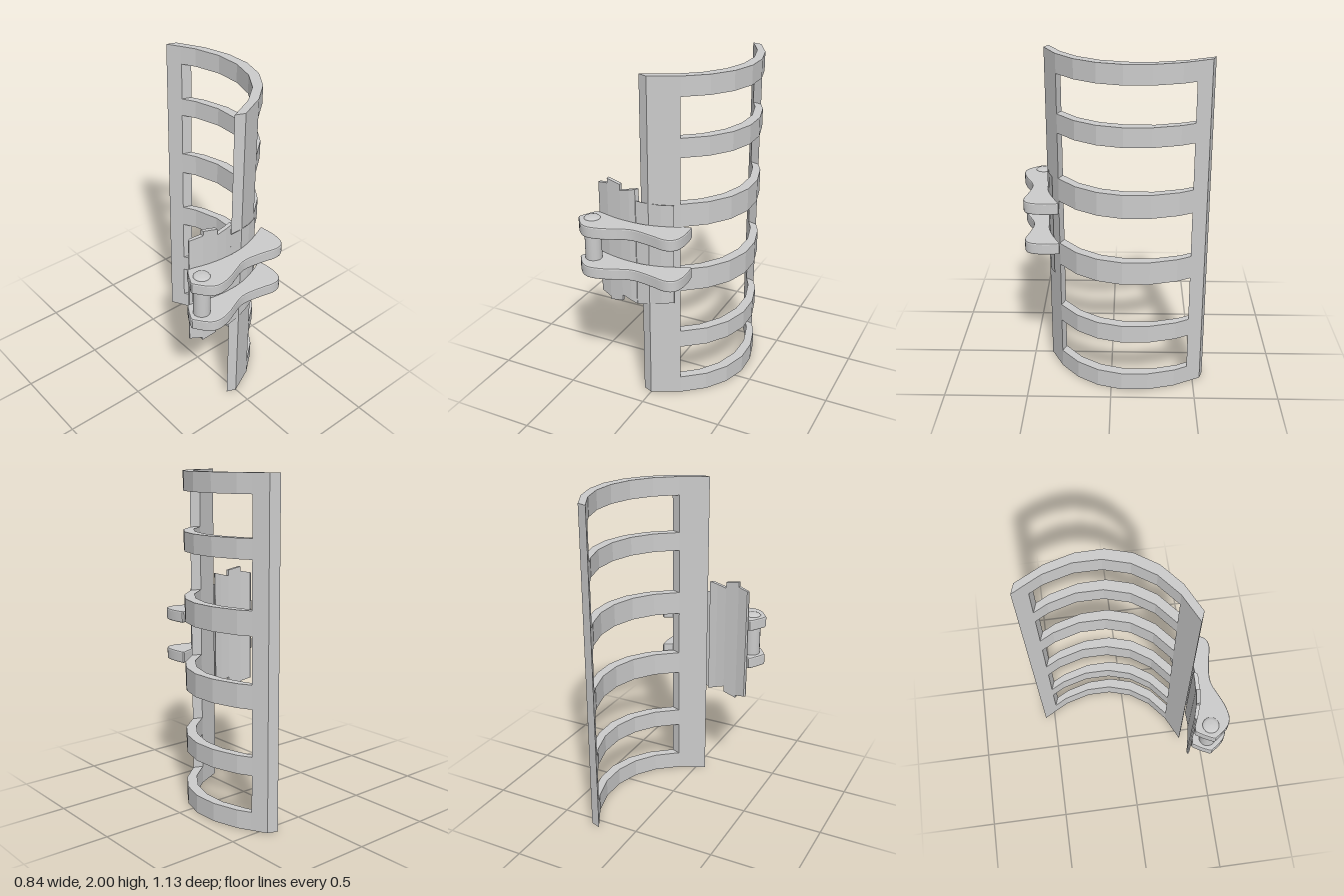
import * as THREE from 'three';
import { toCreasedNormals } from 'three/addons/utils/BufferGeometryUtils.js';

const grey = new THREE.MeshStandardMaterial({ color: 0xcccccc });

function addMesh(parent, name, geometry) {
  const mesh = new THREE.Mesh(geometry, grey);
  mesh.name = name;
  parent.add(mesh);
  return mesh;
}

// Upright prism over an outline given as [x, z] points
function prism(points, y0, y1, bevel = 0) {
  const shape = new THREE.Shape(points.map(([x, z]) => new THREE.Vector2(x, z)));
  const geometry = new THREE.ExtrudeGeometry(shape, {
    depth: y1 - y0 - 2 * bevel,
    bevelEnabled: bevel > 0,
    bevelThickness: bevel,
    bevelSize: bevel,
    bevelOffset: -bevel,
    bevelSegments: 2,
  });
  geometry.rotateX(Math.PI / 2);
  geometry.translate(0, y1 - bevel, 0);
  return geometry;
}

// Smooth open curve through [x, z] points
function smooth(points, divisions) {
  return new THREE.SplineCurve(points.map(([x, z]) => new THREE.Vector2(x, z)))
    .getPoints(divisions).map((p) => [p.x, p.y]);
}

// Loft of four-cornered sections along x: [x, bottom, top, zBack, zFront]
function loft(stations) {
  const rings = stations.map(([x, lo, hi, zb, zf]) =>
    [[x, lo, zb], [x, lo, zf], [x, hi, zf], [x, hi, zb]]);
  const pos = [];
  const quad = (a, b, c, d) => pos.push(...a, ...b, ...c, ...a, ...c, ...d);
  for (let i = 0; i < rings.length - 1; i++) {
    const a = rings[i], b = rings[i + 1];
    for (let k = 0; k < 4; k++) {
      const n = (k + 1) % 4;
      quad(a[k], b[k], b[n], a[n]);
    }
  }
  quad(...rings[0]);
  quad(...rings[rings.length - 1].slice().reverse());
  const geometry = new THREE.BufferGeometry();
  geometry.setAttribute('position', new THREE.Float32BufferAttribute(pos, 3));
  geometry.computeVertexNormals();
  return geometry;
}

export function createModel() {
  const model = new THREE.Group();
  model.name = 'curvedGuard';

  // Curved cage: outer and inner faces of the bent section
  const outer = [[0, 0.388], [0.163, 0.31], [0.29, 0.205], [0.375, 0.08], [0.418, -0.065],
    [0.415, -0.22], [0.37, -0.382], [0.328, -0.46], [0.283, -0.545]];
  const inner = [[-0.057, 0.365], [0.105, 0.287], [0.23, 0.185], [0.315, 0.06], [0.358, -0.085],
    [0.358, -0.24], [0.313, -0.4], [0.27, -0.48], [0.223, -0.565]];
  const band = (from, to) =>
    [...outer.slice(from, to + 1), ...inner.slice(from, to + 1).reverse()];

  addMesh(model, 'frontPost', prism(band(0, 1), 0, 2));
  addMesh(model, 'backPost', prism(band(7, 8), 0, 2));
  const ribs = [[0, 0.11], [0.33, 0.44], [0.717, 0.857], [1.13, 1.27], [1.545, 1.658], [1.888, 2]];
  ribs.forEach(([y0, y1], i) => addMesh(model, `rib${i + 1}`, prism(band(1, 7), y0, y1)));

  // Jagged plate beside the front post, with a bevelled right edge
  addMesh(model, 'jaggedPlate', loft([
    [-0.345, 0.62, 1.33, 0.338, 0.346],
    [-0.335, 0.62, 1.332, 0.333, 0.352],
    [-0.27, 0.605, 1.345, 0.352, 0.375],
    [-0.27, 0.587, 1.375, 0.352, 0.375],
    [-0.18, 0.607, 1.357, 0.366, 0.389],
    [-0.18, 0.645, 1.32, 0.366, 0.389],
    [-0.12, 0.625, 1.335, 0.369, 0.393],
    [-0.082, 0.612, 1.345, 0.368, 0.391],
    [-0.07, 0.61, 1.345, 0.367, 0.37],
  ]));

  // Thin tongue of the plate that skims the post behind the arms
  addMesh(model, 'plateTongue', loft([
    [-0.08, 0.61, 1.275, 0.386, 0.389],
    [0, 0.625, 1.272, 0.383, 0.386],
    [0.07, 0.64, 1.272, 0.37, 0.373],
    [0.14, 0.65, 1.272, 0.345, 0.348],
  ]));

  // Pair of wavy clasp arms
  const armOutline = [
    ...smooth([[-0.355, 0.347], [-0.3, 0.358], [-0.2, 0.383], [-0.1, 0.392], [0, 0.386],
      [0.1, 0.36], [0.225, 0.306]], 18),
    ...smooth([[0.234, 0.31], [0.241, 0.37], [0.24, 0.43], [0.228, 0.48], [0.2, 0.51],
      [0.15, 0.518], [0.08, 0.503], [-0.02, 0.487], [-0.09, 0.493], [-0.2, 0.54], [-0.28, 0.56],
      [-0.33, 0.554], [-0.37, 0.525], [-0.418, 0.46]], 32),
    [-0.418, 0.448], [-0.395, 0.4], [-0.365, 0.352],
  ];
  for (const [name, y] of [['lowerArm', 0.816], ['upperArm', 1.071]]) {
    addMesh(model, name, toCreasedNormals(prism(armOutline, y, y + 0.073, 0.009), 0.36));
  }

  // Hinge pin with gently domed ends
  const profile = [[0, -0.177], [0.03, -0.175], [0.045, -0.171], [0.05, -0.163],
    [0.05, 0.163], [0.045, 0.171], [0.03, 0.175], [0, 0.177]]
    .map(([r, y]) => new THREE.Vector2(r, y));
  addMesh(model, 'hingePin', new THREE.LatheGeometry(profile, 16))
    .position.set(-0.336, 0.979, 0.443);

  return model;
}
